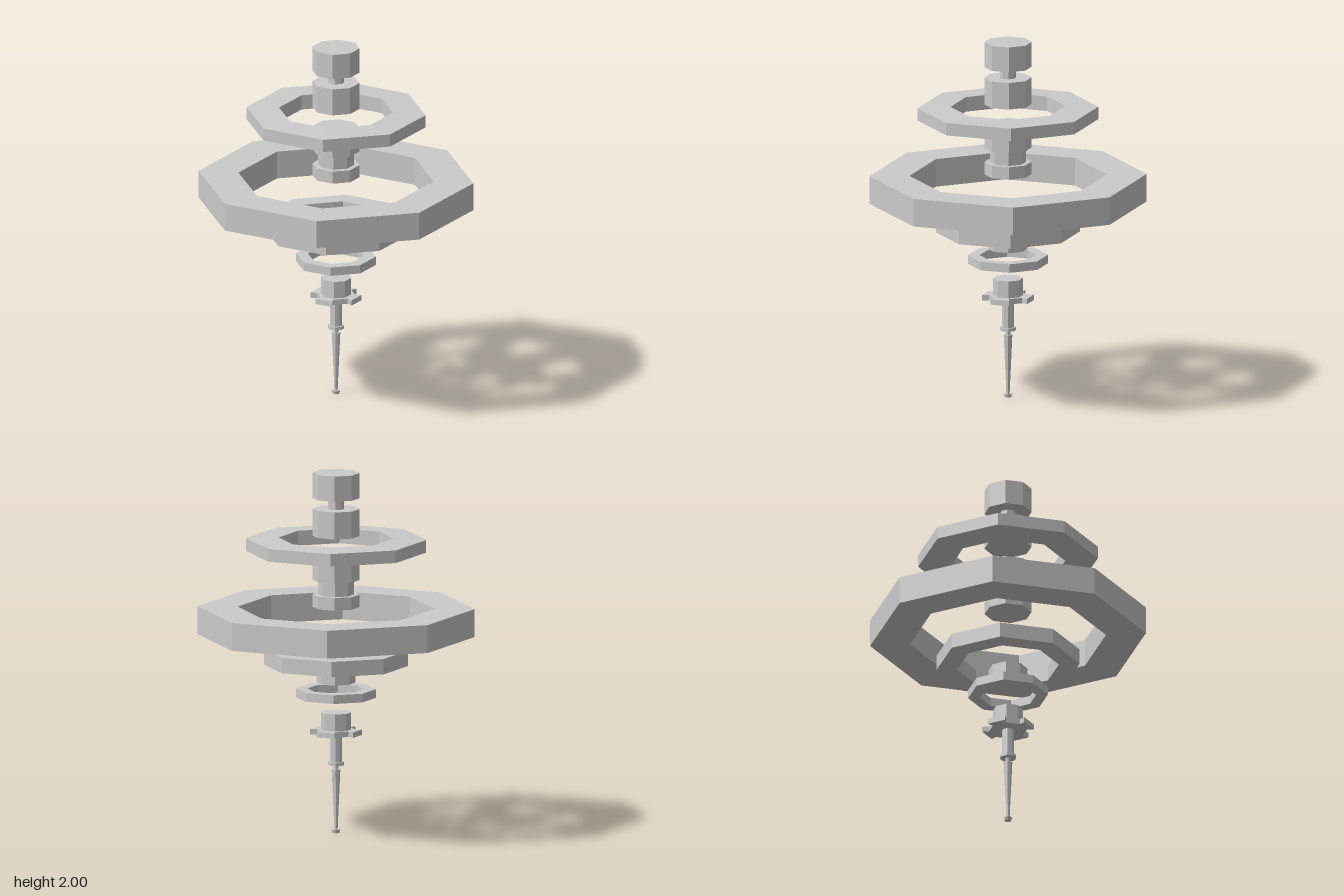
import * as THREE from 'three';

const SIDES = 8;

export function createModel() {
  const model = new THREE.Group();
  const material = new THREE.MeshStandardMaterial({ color: 0xcccccc, flatShading: true });

  const add = (name, geometry, y = 0) => {
    const mesh = new THREE.Mesh(geometry, material);
    mesh.name = name;
    mesh.position.y = y;
    model.add(mesh);
  };

  // Solid eight-sided prism between two heights, optionally tapered
  const prism = (name, y0, y1, rBottom, rTop = rBottom) =>
    add(name, new THREE.CylinderGeometry(rTop, rBottom, y1 - y0, SIDES), (y0 + y1) / 2);

  // Eight-sided ring; slope lowers the outer rim of the top and raises that of the bottom
  const ring = (name, y0, y1, inner, outer, slope = 0) => {
    const profile = [
      [inner, y0], [outer, y0 + slope], [outer, y1 - slope], [inner, y1], [inner, y0],
    ].map(([r, y]) => new THREE.Vector2(r, y));
    add(name, new THREE.LatheGeometry(profile, SIDES));
  };

  // Upper knobs and the stem joining them
  prism('topCap', 1.86, 2.0, 0.13);
  prism('capStem', 1.8, 1.86, 0.045);
  prism('upperBlock', 1.65, 1.8, 0.13);

  // Spool with a narrower waist
  prism('spoolTop', 1.405, 1.54, 0.13);
  prism('spoolWaist', 1.325, 1.405, 0.1);
  prism('spoolBase', 1.255, 1.325, 0.13);

  // Floating rings
  ring('upperRing', 1.555, 1.637, 0.315, 0.495, 0.006);
  ring('mainRing', 1.095, 1.25, 0.54, 0.76);
  ring('lowerRing', 0.93, 1.015, 0.28, 0.395);
  ring('smallRing', 0.752, 0.8, 0.155, 0.22);

  // Nuts below the main ring
  prism('lowerNut', 0.835, 0.915, 0.107);
  prism('shaftNut', 0.575, 0.67, 0.083);

  // Notched flange: lugs on alternate facets
  const flange = new THREE.Shape();
  for (let i = 0; i < SIDES; i++) {
    const r = i % 2 ? 0.142 : 0.105;
    for (const k of [i, i + 1]) {
      const a = (k * Math.PI) / 4;
      const x = r * Math.cos(a), y = -r * Math.sin(a);
      if (i === 0 && k === 0) flange.moveTo(x, y);
      else flange.lineTo(x, y);
    }
  }
  flange.closePath();
  const flangeGeometry = new THREE.ExtrudeGeometry(flange, { depth: 0.03, bevelEnabled: false });
  flangeGeometry.rotateX(-Math.PI / 2);
  add('notchedFlange', flangeGeometry, 0.545);

  // Shaft, collar and tapered needle with a small foot
  prism('shaft', 0.395, 0.545, 0.034);
  prism('collar', 0.377, 0.395, 0.045);
  prism('needleNeck', 0.352, 0.377, 0.015);
  prism('needle', 0.018, 0.352, 0.009, 0.024);
  prism('foot', 0, 0.018, 0.018, 0.024);

  return model;
}
